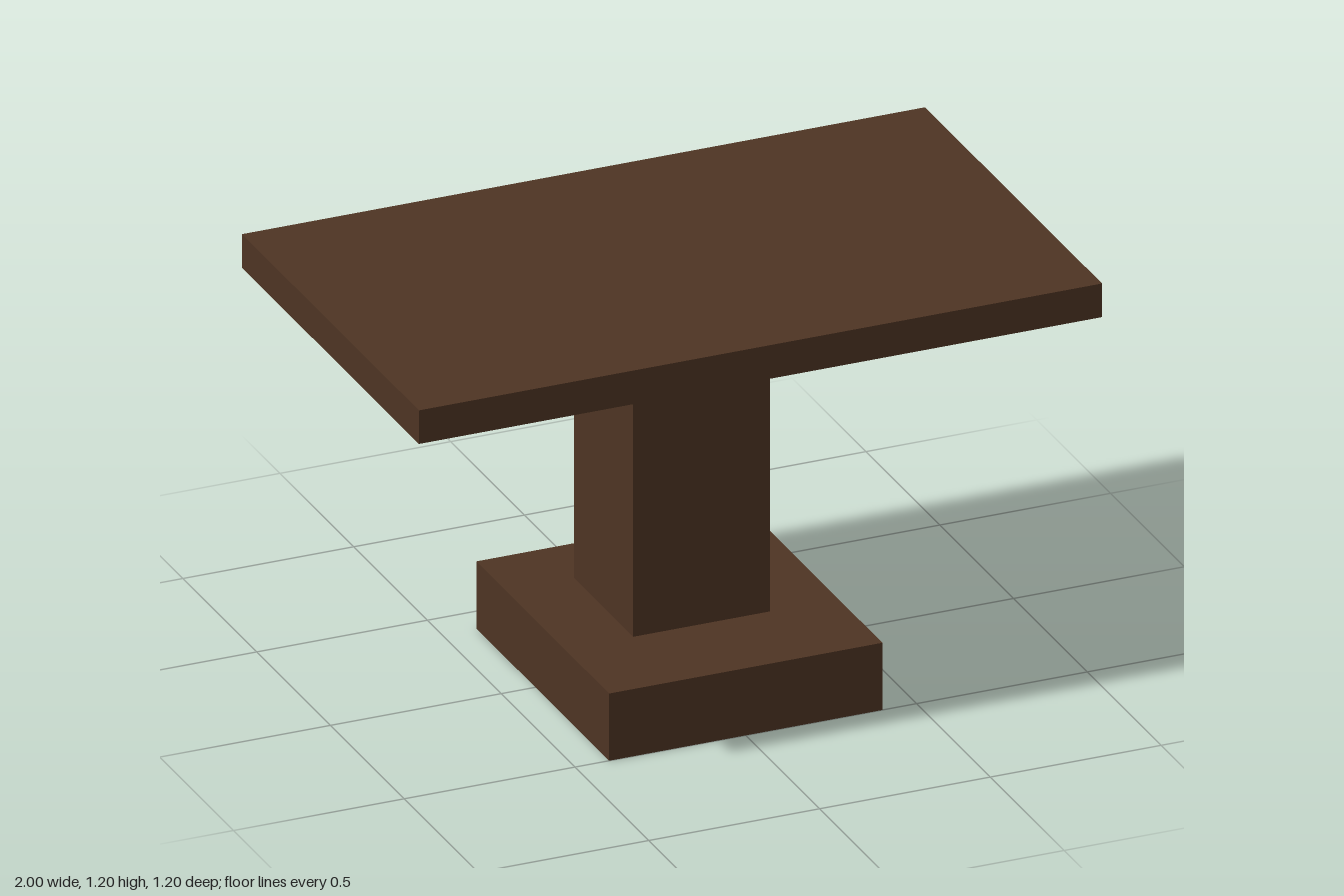
import * as THREE from 'three';

const darkWood = new THREE.MeshStandardMaterial({ color: 0x4e3423, side: THREE.DoubleSide });
darkWood.name = 'darkWood';

// Box given by its size, the height of its underside and its z centre
function block(name, width, height, depth, bottom, z = 0) {
  const geometry = new THREE.BoxGeometry(width, height, depth);
  geometry.clearGroups();
  const mesh = new THREE.Mesh(geometry, darkWood);
  mesh.name = name;
  mesh.position.set(0, bottom + height / 2, z);
  return mesh;
}

export function createModel() {
  const table = new THREE.Group();
  table.name = 'pedestalTable';

  const tabletop = block('tabletop', 2, 0.1, 1.2, 1.1);
  const column = block('column', 0.4, 0.9, 0.4, 0.2);

  // Foot reaches further forward than back and is a hollow shell, open below
  const foot = block('foot', 0.8, 0.2, 0.9, 0, 0.05);
  const index = Array.from(foot.geometry.index.array);
  index.splice(18, 6); // drop the bottom face
  foot.geometry.setIndex(index);

  table.add(tabletop, column, foot);
  return table;
}
